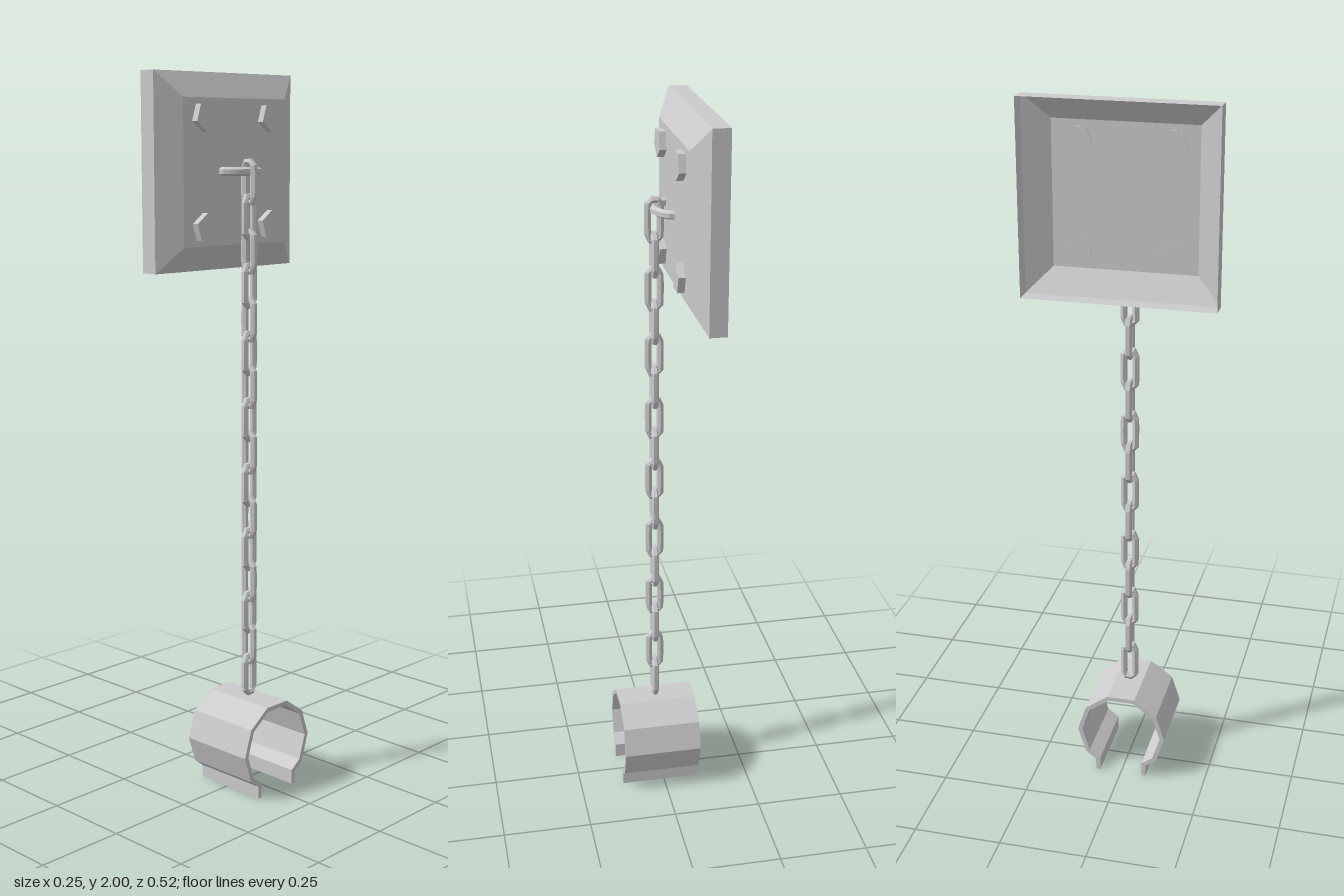
import * as THREE from 'three';

const metal = new THREE.MeshStandardMaterial({ color: 0xcccccc, flatShading: true });
const sheet = new THREE.MeshStandardMaterial({ color: 0xcccccc, flatShading: true, side: THREE.DoubleSide });

const PLATE_Y = 1.7375; // height of the plate's centre
const CHAIN_X = 0.014; // the chain hangs just in front of the plate

function addMesh(parent, name, geometry, material = metal) {
  const mesh = new THREE.Mesh(geometry, material);
  mesh.name = name;
  parent.add(mesh);
  return mesh;
}

// Hollow square plate with bevelled edges, open at the back
function createWallPlate() {
  const profile = [[0.2625, -0.125], [0.2625, -0.077], [0.195, -0.037], [0, -0.037]]
    .map(([half, x]) => new THREE.Vector2(half * Math.SQRT2, x));
  return new THREE.LatheGeometry(profile, 4, Math.PI / 4).rotateZ(-Math.PI / 2);
}

// Five-sided bolt; the upper ones point down, the lower ones up
function createBolt(side) {
  return new THREE.CylinderGeometry(0.04, 0.04, 0.022, 5, 1, false, side * Math.PI / 2)
    .rotateZ(-Math.PI / 2);
}

// One oblong chain link in the xy plane
function createLink() {
  const halfWidth = 0.016, halfHeight = 0.054, bend = 0.016;
  const points = [];
  for (let i = 0; i < 8; i++) {
    const a = (i + 0.5) * Math.PI / 4;
    const straight = Math.sign(Math.sin(a)) * (halfHeight - bend);
    points.push(new THREE.Vector3(
      Math.cos(a) * halfWidth / Math.cos(Math.PI / 8),
      straight + Math.sin(a) * bend / Math.sin(3 * Math.PI / 8), 0));
  }
  const path = new THREE.CatmullRomCurve3(points, true, 'catmullrom', 0.3);
  return new THREE.TubeGeometry(path, 16, 0.01, 6, true);
}

// Open ten-sided cuff with two straight lips at the bottom
function createCuff() {
  const arc = (radius) => {
    const points = [];
    for (let i = -1; i <= 6; i++) {
      const a = i * Math.PI / 5;
      points.push([radius * Math.cos(a), 0.135 + radius * Math.sin(a)]);
    }
    return points;
  };
  const outer = [[0.076, 0], [0.076, 0.035], ...arc(0.131), [-0.076, 0.035], [-0.076, 0]];
  const inner = [[0.063, 0], [0.063, 0.042], ...arc(0.118), [-0.063, 0.042], [-0.063, 0]];
  const outline = [...outer, ...inner.reverse()].map(([z, y]) => new THREE.Vector2(z, y));
  return new THREE.ExtrudeGeometry(new THREE.Shape(outline), { depth: 0.224, bevelEnabled: false })
    .rotateY(Math.PI / 2);
}

export function createModel() {
  const model = new THREE.Group();
  model.name = 'wallShackle';

  addMesh(model, 'wallPlate', createWallPlate(), sheet).position.y = PLATE_Y;

  const bolts = new THREE.Group();
  bolts.name = 'bolts';
  model.add(bolts);
  for (const up of [1, -1]) {
    for (const z of [-0.125, 0.125]) {
      addMesh(bolts, 'bolt', createBolt(up)).position.set(-0.029, PLATE_Y + up * 0.1455, z);
    }
  }

  // Curved staple that carries the first link
  const staple = new THREE.Group();
  staple.name = 'staple';
  staple.position.y = 1.74;
  model.add(staple);
  const half = [[-0.027, 0.066], [-0.013, 0.063], [0.005, 0.04], [0.015, 0.014]];
  const bends = [...half, ...half.map(([x, z]) => [x, -z]).reverse()]
    .map(([x, z]) => new THREE.Vector3(x, 0, z));
  const path = new THREE.CatmullRomCurve3(bends, false, 'catmullrom', 0.3);
  addMesh(staple, 'stapleBar', new THREE.TubeGeometry(path, 14, 0.012, 6));
  for (const side of [1, -1]) {
    const cap = addMesh(staple, 'stapleEnd', new THREE.CircleGeometry(0.012, 6), sheet);
    cap.position.set(-0.027, 0, side * 0.066);
    cap.rotation.y = -Math.PI / 2;
  }

  // Chain of links, each turned a quarter from the last
  const chain = new THREE.Group();
  chain.name = 'chain';
  model.add(chain);
  const link = createLink();
  for (let i = 0; i < 16; i++) {
    const mesh = addMesh(chain, 'chainLink', link);
    mesh.position.set(CHAIN_X, 1.711 - i * 0.0925, 0);
    mesh.rotation.y = (i % 2) * Math.PI / 2;
  }

  addMesh(model, 'cuff', createCuff()).position.x = -0.1;
  return model;
}
